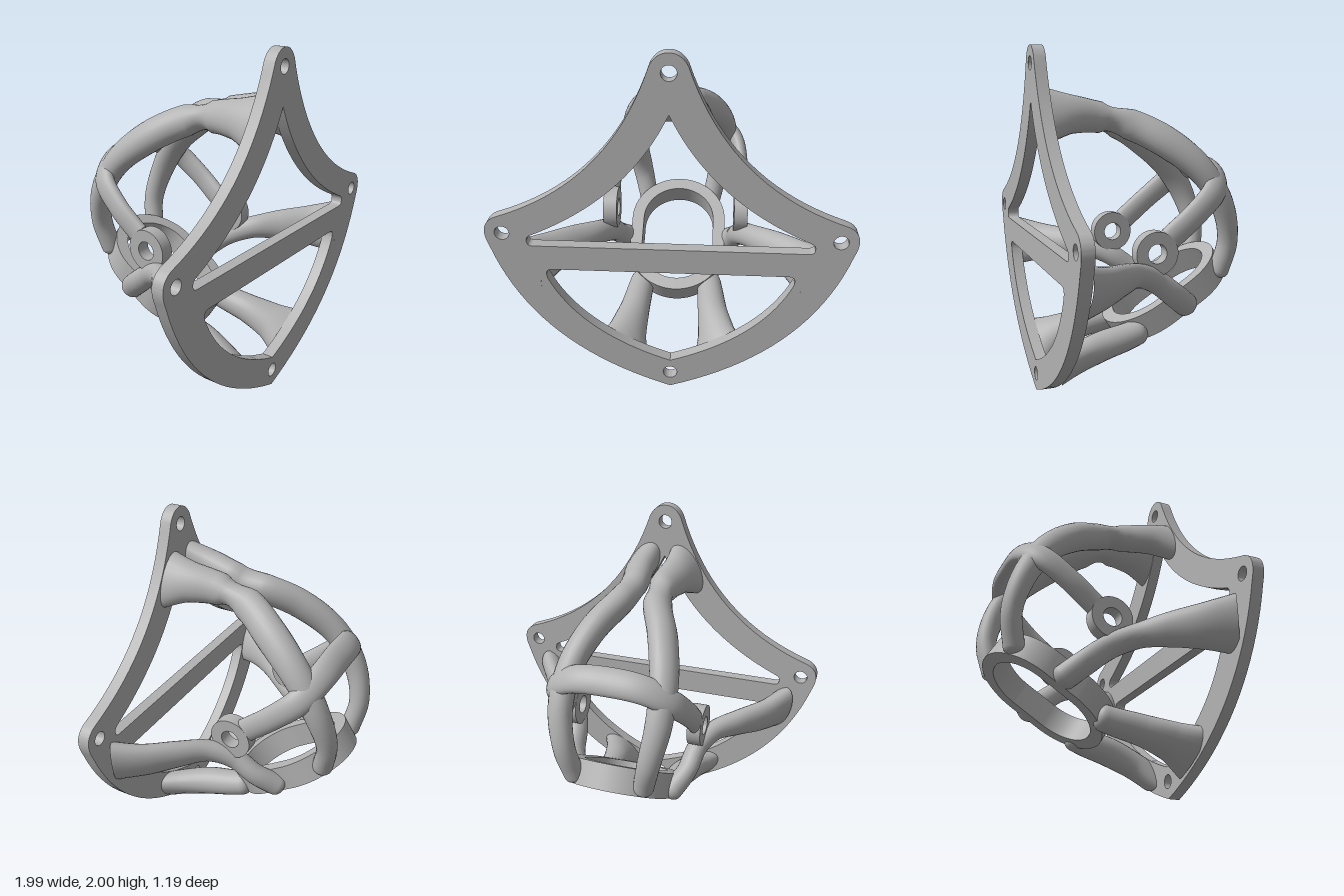
import * as THREE from 'three';
import { toCreasedNormals } from 'three/addons/utils/BufferGeometryUtils.js';

const V = (x, y, z = 0) => new THREE.Vector3(x, y, z);

// Closed outline from its +x half, running from one point on x = 0 to another
function mirrored(half) {
  const right = half.getPoints(20);
  const left = right.slice(1, -1).reverse().map(p => new THREE.Vector2(-p.x, p.y));
  return [...right, ...left];
}

function circle(x, y, r) {
  return new THREE.Path().absarc(x, y, r, 0, Math.PI * 2, true);
}

function extrude(shape, depth) {
  const g = new THREE.ExtrudeGeometry(shape, { depth, bevelEnabled: false, curveSegments: 32 });
  return toCreasedNormals(g, 0.5);
}

// Swept rib: keys are [x, y, z, a, b]; a is the half width along "wide", b across it
function sweep(keys, wide, capEnd = true) {
  const path = new THREE.CatmullRomCurve3(keys.map(k => V(k[0], k[1], k[2])));
  const size = new THREE.CatmullRomCurve3(keys.map(k => V(k[3], k[4])));
  const rings = 48, sides = 24, caps = capEnd ? 6 : 0;
  const pos = [], index = [];
  for (let i = 0; i <= rings + caps; i++) {
    const s = Math.min(i / rings, 1);
    const c = path.getPoint(s), t = path.getTangent(s), r = size.getPoint(s);
    const u = wide.clone().addScaledVector(t, -wide.dot(t)).normalize();
    const v = t.clone().cross(u);
    // rounded end
    const angle = i > rings ? (i - rings) / caps * Math.PI / 2 : 0;
    c.addScaledVector(t, Math.sin(angle) * r.y * 0.8);
    const shrink = Math.max(Math.cos(angle), 0.001);
    for (let j = 0; j < sides; j++) {
      const q = j / sides * Math.PI * 2;
      const p = c.clone().addScaledVector(u, Math.cos(q) * r.x * shrink)
        .addScaledVector(v, Math.sin(q) * r.y * shrink);
      pos.push(p.x, p.y, p.z);
      if (i < rings + caps) {
        const a = i * sides + j, b = i * sides + (j + 1) % sides;
        index.push(a, b, a + sides, b, b + sides, a + sides);
      }
    }
  }
  const g = new THREE.BufferGeometry();
  g.setAttribute('position', new THREE.Float32BufferAttribute(pos, 3));
  g.setIndex(index);
  g.computeVertexNormals();
  return g;
}

export function createModel() {
  const model = new THREE.Group();
  const grey = new THREE.MeshStandardMaterial({ color: 0xb2b2b2 });
  grey.name = 'grey';
  const add = (name, geometry) => {
    const m = new THREE.Mesh(geometry, grey);
    m.name = name;
    model.add(m);
    return m;
  };

  // Front plate with two windows and four screw holes
  const outline = new THREE.Path().moveTo(0, 0)
    .quadraticCurveTo(0.77, 0.26, 0.975, 0.92)
    .quadraticCurveTo(1.03, 1.05, 0.93, 1.095)
    .quadraticCurveTo(0.31, 1.305, 0.095, 1.935)
    .quadraticCurveTo(0.06, 2, 0, 2);
  const upperWindow = new THREE.Path().moveTo(0, 0.925)
    .lineTo(0.74, 0.925)
    .quadraticCurveTo(0.77, 0.925, 0.77, 0.955)
    .quadraticCurveTo(0.77, 0.98, 0.75, 0.988)
    .quadraticCurveTo(0.22, 1.22, 0, 1.69);
  const lowerWindow = new THREE.Path().moveTo(0, 0.185)
    .quadraticCurveTo(0.505, 0.36, 0.67, 0.72)
    .quadraticCurveTo(0.69, 0.78, 0.64, 0.78)
    .lineTo(0, 0.78);
  const plate = new THREE.Shape(mirrored(outline));
  plate.holes.push(new THREE.Path(mirrored(upperWindow)), new THREE.Path(mirrored(lowerWindow)));
  for (const [x, y] of [[0, 1.9], [0.9, 1], [-0.9, 1], [0, 0.1]]) plate.holes.push(circle(x, y, 0.04));
  add('frontPlate', extrude(plate, 0.068)).position.z = 0.53;

  // Tilted oblong ring at the bottom back
  const oblong = (path, r) => path
    .absarc(0, 0.1, r, 0, Math.PI, false)
    .absarc(0, -0.1, r, Math.PI, Math.PI * 2, false)
    .closePath();
  const ringShape = oblong(new THREE.Shape(), 0.3);
  ringShape.holes.push(oblong(new THREE.Path(), 0.225));
  const ring = add('oblongRing', extrude(ringShape, 0.15));
  const along = V(0, 0.43, -0.675).normalize();
  ring.quaternion.setFromRotationMatrix(
    new THREE.Matrix4().makeBasis(V(1, 0, 0), along, V(1, 0, 0).cross(along)));
  ring.position.set(0, 0.475, -0.25);

  // Ribs from plate to ring, as left-hand keys
  const ribs = {
    UpperRib: [V(0.5, -0.87, 0), [
      [0.14, 1.62, 0.55, 0.17, 0.085],
      [0.12, 1.62, 0.4, 0.115, 0.085],
      [0.09, 1.6, 0.22, 0.092, 0.08],
      [0.11, 1.56, 0.05, 0.092, 0.08],
      [0.2, 1.46, -0.14, 0.095, 0.08],
      [0.27, 1.3, -0.33, 0.085, 0.075],
      [0.285, 1.1, -0.46, 0.075, 0.068],
      [0.25, 0.88, -0.518, 0.065, 0.06],
      [0.21, 0.69, -0.485, 0.06, 0.06]]],
    SideRib: [V(0.4, 0.9, 0), [
      [0.79, 0.76, 0.55, 0.165, 0.08],
      [0.7, 0.76, 0.4, 0.125, 0.07],
      [0.58, 0.765, 0.26, 0.095, 0.065],
      [0.46, 0.755, 0.13, 0.07, 0.06],
      [0.39, 0.7, 0, 0.068, 0.06],
      [0.36, 0.6, -0.13, 0.07, 0.06],
      [0.3, 0.52, -0.23, 0.07, 0.065]]],
    LowerRib: [V(0.75, 0.65, 0), [
      [0.28, 0.2, 0.55, 0.18, 0.075],
      [0.26, 0.255, 0.42, 0.12, 0.08],
      [0.235, 0.305, 0.26, 0.09, 0.085],
      [0.22, 0.335, 0.12, 0.08, 0.08],
      [0.21, 0.355, 0.04, 0.075, 0.075]]],
  };

  // Pivot eyelets on the strap ends
  const eyelet = new THREE.Shape().absarc(0, 0, 0.123, 0, Math.PI * 2, false);
  eyelet.holes.push(circle(0, 0, 0.055));

  for (const [side, s] of [['left', 1], ['right', -1]]) {
    for (const [name, [wide, keys]] of Object.entries(ribs)) {
      const flip = keys.map(([x, ...rest]) => [s * x, ...rest]);
      add(side + name, sweep(flip, V(s * wide.x, wide.y, wide.z)));
    }
    const e = add(side + 'Eyelet', extrude(eyelet, 0.08));
    e.rotation.y = Math.PI / 2;
    e.position.set(s * 0.39 - 0.04, 0.86, 0);
  }

  // Strap arching across the upper ribs and down to both eyelets
  const half = [
    [0.39, 0.93, -0.085, 0.07, 0.04],
    [0.39, 1.06, -0.24, 0.07, 0.042],
    [0.345, 1.19, -0.385, 0.075, 0.045],
    [0.2, 1.285, -0.45, 0.08, 0.045]];
  const strap = [...half, [0, 1.305, -0.458, 0.083, 0.045],
    ...half.slice().reverse().map(([x, ...rest]) => [-x, ...rest])];
  add('backStrap', sweep(strap, V(0, 0.73, 0.68), false));

  return model;
}
